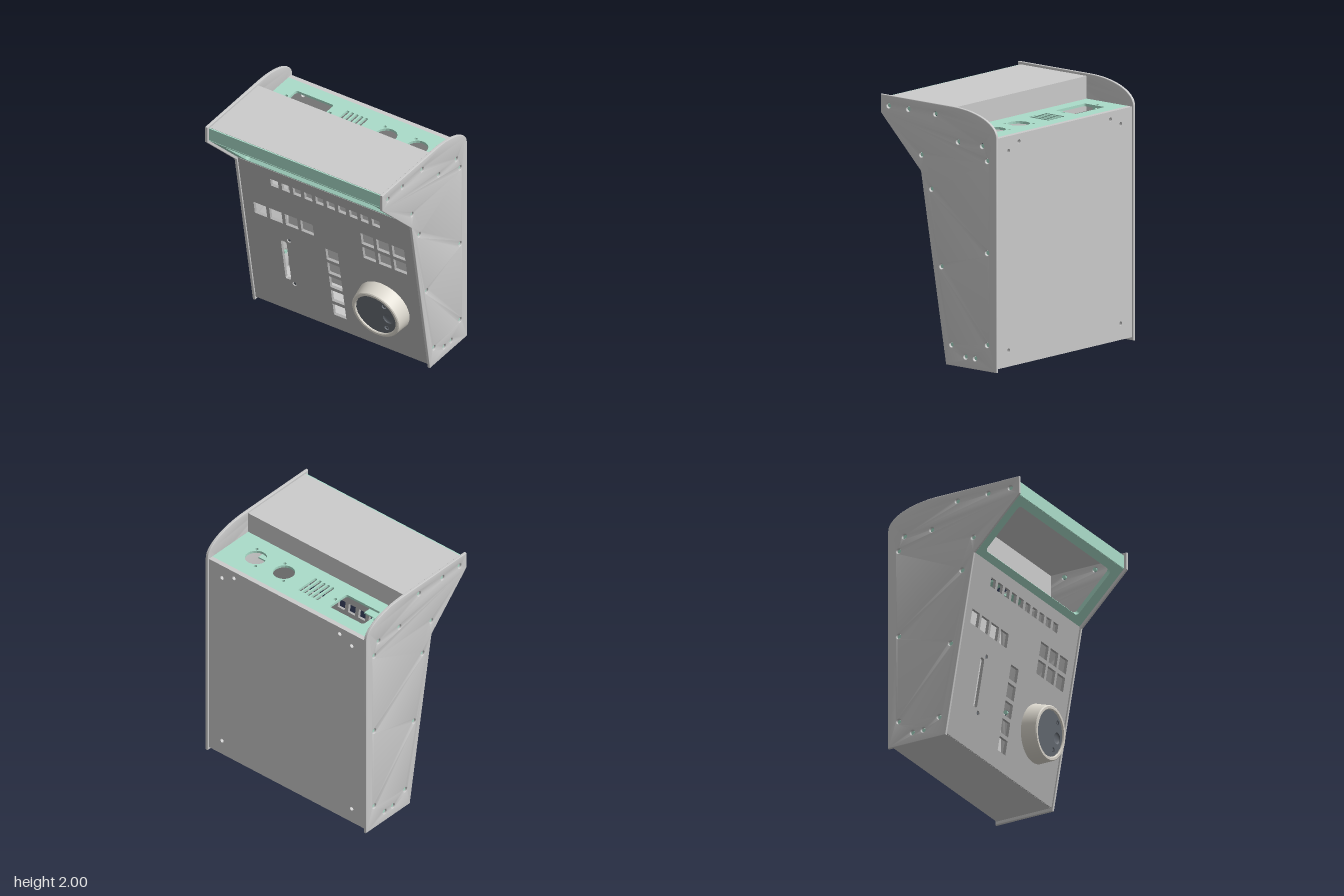
import * as THREE from 'three';
import { toCreasedNormals } from 'three/addons/utils/BufferGeometryUtils.js';

const mat = (color) => new THREE.MeshStandardMaterial({ color });
const grey = mat(0xcccccc), panelGrey = mat(0xb2b2b2), green = mat(0xaadcc9);
const brass = mat(0xf0c67c), dark = mat(0x676d75), pale = mat(0xe0dcd2), shadow = mat(0x606466);

function add(parent, name, geometry, material, x = 0, y = 0, z = 0) {
  const mesh = new THREE.Mesh(geometry, material);
  mesh.name = name;
  mesh.position.set(x, y, z);
  parent.add(mesh);
  return mesh;
}

// box given by its limits on each axis
function box(parent, name, material, [x0, x1], [y0, y1], [z0, z1]) {
  return add(parent, name, new THREE.BoxGeometry(x1 - x0, y1 - y0, z1 - z0), material,
    (x0 + x1) / 2, (y0 + y1) / 2, (z0 + z1) / 2);
}

// rectangle outline by centre and size, with optional round corners
function rect(cx, cy, w, h, r = 0, Type = THREE.Path) {
  const p = new Type(), x = cx - w / 2, y = cy - h / 2;
  if (!r) {
    return p.moveTo(x, y).lineTo(x + w, y).lineTo(x + w, y + h).lineTo(x, y + h).lineTo(x, y);
  }
  p.absarc(x + w - r, y + r, r, -Math.PI / 2, 0);
  p.absarc(x + w - r, y + h - r, r, 0, Math.PI / 2);
  p.absarc(x + r, y + h - r, r, Math.PI / 2, Math.PI);
  p.absarc(x + r, y + r, r, Math.PI, Math.PI * 1.5);
  p.closePath();
  return p;
}

const circle = (x, y, r) => new THREE.Path().absarc(x, y, r, 0, Math.PI * 2);

// flat plate whose front face lies on local z = 0
function plate(shape, holes, depth) {
  shape.holes.push(...holes);
  return new THREE.ExtrudeGeometry(shape, { depth, bevelEnabled: false, curveSegments: 10 })
    .translate(0, 0, -depth);
}

function knob(parent, x, y) {
  const g = new THREE.Group();
  g.name = 'jogWheel';
  g.position.set(x, y, 0);
  parent.add(g);
  const profile = [[0.23, 0], [0.225, 0.03], [0.212, 0.118], [0.205, 0.125], [0.186, 0.125], [0.18, 0.118], [0.18, 0.1]]
    .map(([r, h]) => new THREE.Vector2(r, h));
  add(g, 'wheelRim', toCreasedNormals(new THREE.LatheGeometry(profile, 64).rotateX(Math.PI / 2), 0.5), pale);

  // dark inset disc with a finger dimple and screw holes
  const spots = [[-0.13, 0.115], [0.085, 0.115], [-0.13, -0.105], [0.085, -0.105]];
  const disc = new THREE.Shape().absarc(0, 0, 0.18, 0, Math.PI * 2);
  const face = plate(disc, [circle(0.11, 0, 0.045), ...spots.map(([a, b]) => circle(a, b, 0.02))], 0.02);
  add(g, 'wheelDisc', face, dark, 0, 0, 0.112);
  add(g, 'wheelBase', new THREE.CircleGeometry(0.18, 48), dark, 0, 0, 0.095);
  for (const [a, b] of spots) {
    add(g, 'wheelScrew', new THREE.CylinderGeometry(0.012, 0.012, 0.016, 12).rotateX(Math.PI / 2), dark, a, b, 0.1);
  }
  const dimple = new THREE.SphereGeometry(0.045, 20, 8, 0, Math.PI * 2, Math.PI / 2, Math.PI / 2)
    .scale(1, 0.35, 1).rotateX(Math.PI / 2);
  add(g, 'fingerDimple', dimple, new THREE.MeshStandardMaterial({ color: 0x676d75, side: THREE.DoubleSide }), 0.11, 0, 0.112);
}

export function createModel() {
  const model = new THREE.Group();
  model.name = 'controlConsole';
  const W = 0.784;

  // side panels with countersunk screw holes, outline in (-z, y)
  const side = new THREE.Shape();
  side.moveTo(0.07, 0).lineTo(0.575, 0).lineTo(0.575, 1.81);
  side.bezierCurveTo(0.575, 1.92, 0.38, 2, 0.13, 2);
  side.lineTo(-0.58, 2).lineTo(-0.58, 1.86).lineTo(-0.18, 1.46).lineTo(0.07, 0);
  const screws = [[0.5, 1.92], [0.305, 1.92], [0.035, 1.92], [-0.19, 1.735], [-0.43, 1.735], [-0.48, 1.625],
    [0.175, 1.585], [0.075, 1.335], [-0.48, 0.915], [-0.025, 0.75], [-0.48, 0.205], [-0.125, 0.16],
    [-0.265, 0.085], [-0.36, 0.085]];
  side.holes = screws.map(([z, y]) => circle(-z, y, 0.02));
  const sideGeo = toCreasedNormals(new THREE.ExtrudeGeometry(side, {
    depth: 0.012, bevelThickness: 0.006, bevelSize: 0.006, bevelOffset: -0.006, bevelSegments: 3, curveSegments: 14,
  }).translate(0, 0, -0.006).rotateY(Math.PI / 2), 0.6);
  const screwGeo = new THREE.CylinderGeometry(0.016, 0.016, 0.02, 12).rotateZ(Math.PI / 2);
  for (const s of [1, -1]) {
    const name = s > 0 ? 'left' : 'right';
    add(model, name + 'SidePanel', sideGeo, grey, s * 0.794, 0, 0);
    for (const [z, y] of screws) add(model, name + 'SideScrew', screwGeo, green, s * 0.783, y, z);
  }

  // shell: floor, roof, step wall and front lip
  box(model, 'floor', grey, [-W, W], [0.025, 0.05], [-0.54, -0.085]);
  box(model, 'roof', grey, [-W, W], [1.96, 1.98], [-0.11, 0.545]);
  box(model, 'stepWall', grey, [-W, W], [1.71, 1.96], [-0.11, -0.085]);
  box(model, 'frontLip', green, [-W, W], [1.865, 1.978], [0.53, 0.556]);

  // back panel
  const backHoles = [];
  for (const s of [1, -1]) {
    for (const [x, y] of [[0.65, 1.69], [0.53, 1.745], [0.65, 0.15]]) backHoles.push(circle(s * x, y, 0.017));
  }
  add(model, 'backPanel', plate(rect(0, 0.915, 2 * W, 1.78, 0, THREE.Shape), backHoles, 0.04), grey, 0, 0, -0.522);

  // rear connector shelf, drawn in (x, -z) and laid flat
  const ports = [rect(-0.467, 0.315, 0.34, 0.2, 0.018), circle(-0.665, 0.315, 0.015), circle(-0.27, 0.315, 0.015)];
  for (let i = 0; i < 5; i++) ports.push(rect(-0.165 + i * 0.0425, 0.315, 0.027, 0.2, 0.012));
  for (const x of [0.245, 0.525]) {
    ports.push(circle(x, 0.315, 0.085), circle(x - 0.068, 0.4, 0.013), circle(x + 0.066, 0.23, 0.013));
  }
  const shelf = plate(rect(0, 0.315, 2 * W, 0.416, 0, THREE.Shape), ports, 0.02);
  add(model, 'connectorShelf', shelf.rotateX(-Math.PI / 2), green, 0, 1.805, 0);
  for (const s of [1, -1]) box(model, 'shelfBracket', green, [s * 0.53 - 0.07, s * 0.53 + 0.07], [1.695, 1.708], [-0.2, -0.08]);

  // sloping front panel; k turns heights into lengths along the slope
  const tilt = Math.atan(0.171), k = 1 / Math.cos(tilt);
  const front = new THREE.Group();
  front.name = 'frontPanelGroup';
  front.position.z = -0.083;
  front.rotation.x = tilt;
  model.add(front);
  const cuts = [];
  const key = (x, y, s) => cuts.push(rect(x, y * k, s, s * k));
  for (let i = 0; i < 10; i++) key(-0.463 + i * 0.1023, 1.345, 0.07);
  for (let i = 0; i < 4; i++) key(-0.63 + i * 0.1415, 1.0, 0.113);
  for (let i = 0; i < 5; i++) key(0, 0.222 + i * 0.1435, 0.113);
  for (let i = 0; i < 3; i++) for (const y of [0.973, 1.117]) key(0.355 + i * 0.1415, y, 0.113);
  cuts.push(rect(-0.447, 0.555 * k, 0.052, 0.4, 0.015));
  for (const y of [0.33, 0.78]) cuts.push(circle(-0.395, y * k, 0.019));
  add(front, 'frontPanel', plate(rect(0, 0.75 * k, 2 * W, 1.45 * k, 0, THREE.Shape), cuts, 0.025), panelGrey);
  for (const y of [0.33, 0.78]) {
    add(front, 'faderScrew', new THREE.CylinderGeometry(0.012, 0.012, 0.02, 12).rotateX(Math.PI / 2), dark, -0.395, y * k, -0.015);
  }
  knob(front, 0.435, 0.49);

  // overhanging display bezel with its window
  const bezel = plate(rect(0, 0.283, 2 * W, 0.566, 0, THREE.Shape), [rect(0, 0.283, 1.36, 0.425, 0.03)], 0.035);
  add(model, 'displayBezel', bezel, green, 0, 1.468, 0.158).rotation.x = Math.PI / 4;

  // parts inside the window: tilted catches, wall slots and back standoffs
  for (const x of [-0.305, 0.302]) {
    add(model, 'bezelCatch', new THREE.BoxGeometry(0.167, 0.1, 0.015), brass, x, 1.58, 0.105).rotation.x = -0.55;
  }
  for (const x of [-0.605, -0.25]) box(model, 'wallSlot', shadow, [x - 0.013, x + 0.013], [1.71, 1.85], [-0.09, -0.08]);
  for (const x of [-0.6, -0.15]) {
    add(model, 'standoff', new THREE.CylinderGeometry(0.035, 0.035, 0.05, 20).rotateX(Math.PI / 2), grey, x, 1.56, -0.5);
    add(model, 'standoffTip', new THREE.CylinderGeometry(0.018, 0.018, 0.02, 16).rotateX(Math.PI / 2), grey, x, 1.56, -0.47);
  }
  return model;
}
